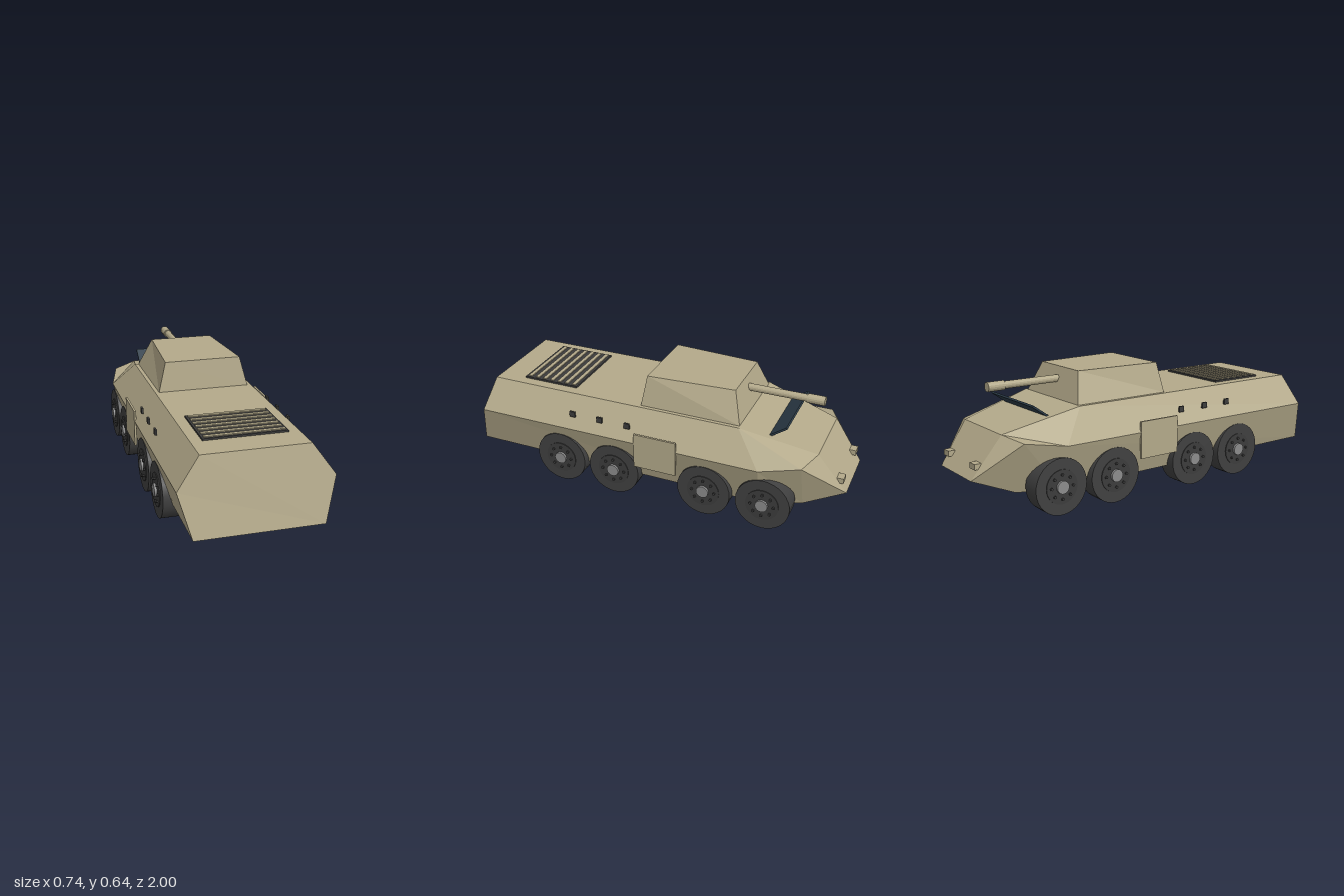
import * as THREE from 'three';

const mat = (color) => new THREE.MeshStandardMaterial({ color, flatShading: true });
const ARMOUR = mat(0xb3a98a), DARK = mat(0x3c3c3c), GLASS = mat(0x2c3c48);
const RUBBER = new THREE.MeshStandardMaterial({ color: 0x404040 });
const STEEL = new THREE.MeshStandardMaterial({ color: 0x8c8c8c });

function add(parent, name, geometry, material, x = 0, y = 0, z = 0) {
  const mesh = new THREE.Mesh(geometry, material);
  mesh.name = name;
  mesh.position.set(x, y, z);
  parent.add(mesh);
  return mesh;
}

// Joins mirrored half sections (listed bottom to top, rear to nose) into a closed shell
function loft(halves) {
  const rings = halves.map((h) => [
    ...h, ...h.slice().reverse().map(([x, y, z]) => [-x, y, z]),
  ].map((p) => new THREE.Vector3(...p)));
  const pos = [];
  const tri = (a, b, c) => {
    const area = b.clone().sub(a).cross(c.clone().sub(a)).length();
    if (area > 1e-7) for (const p of [a, b, c]) pos.push(p.x, p.y, p.z);
  };
  const n = rings[0].length, first = rings[0], last = rings[rings.length - 1];
  for (let s = 0; s < rings.length - 1; s++) {
    for (let i = 0; i < n; i++) {
      const j = (i + 1) % n, r = rings[s], q = rings[s + 1];
      tri(r[i], q[i], r[j]);
      tri(r[j], q[i], q[j]);
    }
  }
  for (let i = 1; i < n - 1; i++) {
    tri(first[0], first[i], first[i + 1]);
    tri(last[0], last[i + 1], last[i]);
  }
  const g = new THREE.BufferGeometry();
  g.setAttribute('position', new THREE.Float32BufferAttribute(pos, 3));
  g.computeVertexNormals();
  return g;
}

// Cylinder along x
const disc = (r, w, seg = 32) => new THREE.CylinderGeometry(r, r, w, seg).rotateZ(-Math.PI / 2);

function makeWheel() {
  const wheel = new THREE.Group();
  wheel.name = 'wheel';
  add(wheel, 'tyre', disc(0.14, 0.096), RUBBER);
  add(wheel, 'rim', disc(0.085, 0.006), DARK, 0.049);
  add(wheel, 'hub', disc(0.032, 0.02, 20), STEEL, 0.054);
  for (let i = 0; i < 8; i++) {
    const a = (i / 8) * Math.PI * 2;
    add(wheel, 'wheelBolt', disc(0.007, 0.01, 8), DARK, 0.055, Math.sin(a) * 0.06, Math.cos(a) * 0.06);
  }
  return wheel;
}

export function createModel() {
  const model = new THREE.Group();
  model.name = 'armouredVehicle';

  // Hull, with the nose towards -z
  const nose = [0.16, 0.185, -1];
  add(model, 'hull', loft([
    [[0.31, 0.12, 1], [0.37, 0.335, 0.95], [0.26, 0.487, 0.92]],
    [[0.3, 0.108, -0.6], [0.37, 0.335, -0.6], [0.26, 0.487, -0.46]],
    [[0.22, 0.108, -0.8], [0.315, 0.365, -0.8], [0.19, 0.39, -0.85]],
    [nose, nose, nose],
  ]), ARMOUR);

  // Turret and gun
  add(model, 'turret', loft([
    [[0.24, 0.487, 0.07], [0.2, 0.64, 0.05]],
    [[0.24, 0.487, -0.46], [0.17, 0.64, -0.41]],
  ]), ARMOUR);
  const tube = (r, l) => new THREE.CylinderGeometry(r, r, l, 16).rotateX(Math.PI / 2);
  add(model, 'gunBarrel', tube(0.019, 0.42), ARMOUR, 0, 0.58, -0.6);
  add(model, 'muzzle', tube(0.024, 0.09), ARMOUR, 0, 0.58, -0.775);

  // Slanted windscreen plate
  const screen = add(model, 'windscreen', new THREE.BoxGeometry(0.41, 0.01, 0.105), GLASS, 0, 0.475, -0.645);
  screen.rotation.x = 0.62;

  // Engine grille on the rear deck
  add(model, 'grilleBase', new THREE.BoxGeometry(0.41, 0.012, 0.31), DARK, 0, 0.49, 0.615);
  for (let i = 0; i < 7; i++) {
    add(model, 'grilleSlat', new THREE.BoxGeometry(0.39, 0.014, 0.02), ARMOUR, 0, 0.494, 0.483 + i * 0.044);
  }

  // Parts repeated on both sides
  for (const s of [1, -1]) {
    for (const z of [0.49, 0.18, -0.32, -0.63]) {
      const wheel = makeWheel();
      wheel.position.set(s * 0.308, 0.14, z);
      if (s < 0) wheel.rotation.y = Math.PI;
      model.add(wheel);
    }
    add(model, 'sideDoor', new THREE.BoxGeometry(0.011, 0.19, 0.23), ARMOUR, s * 0.3665, 0.295, -0.06);
    for (const z of [0.105, 0.26, 0.415]) {
      add(model, 'firingPort', new THREE.BoxGeometry(0.01, 0.03, 0.03), DARK, s * 0.34, 0.411, z);
    }
    add(model, 'headlight', new THREE.BoxGeometry(0.05, 0.028, 0.035), ARMOUR, s * 0.14, 0.25, -0.963);
  }
  return model;
}
